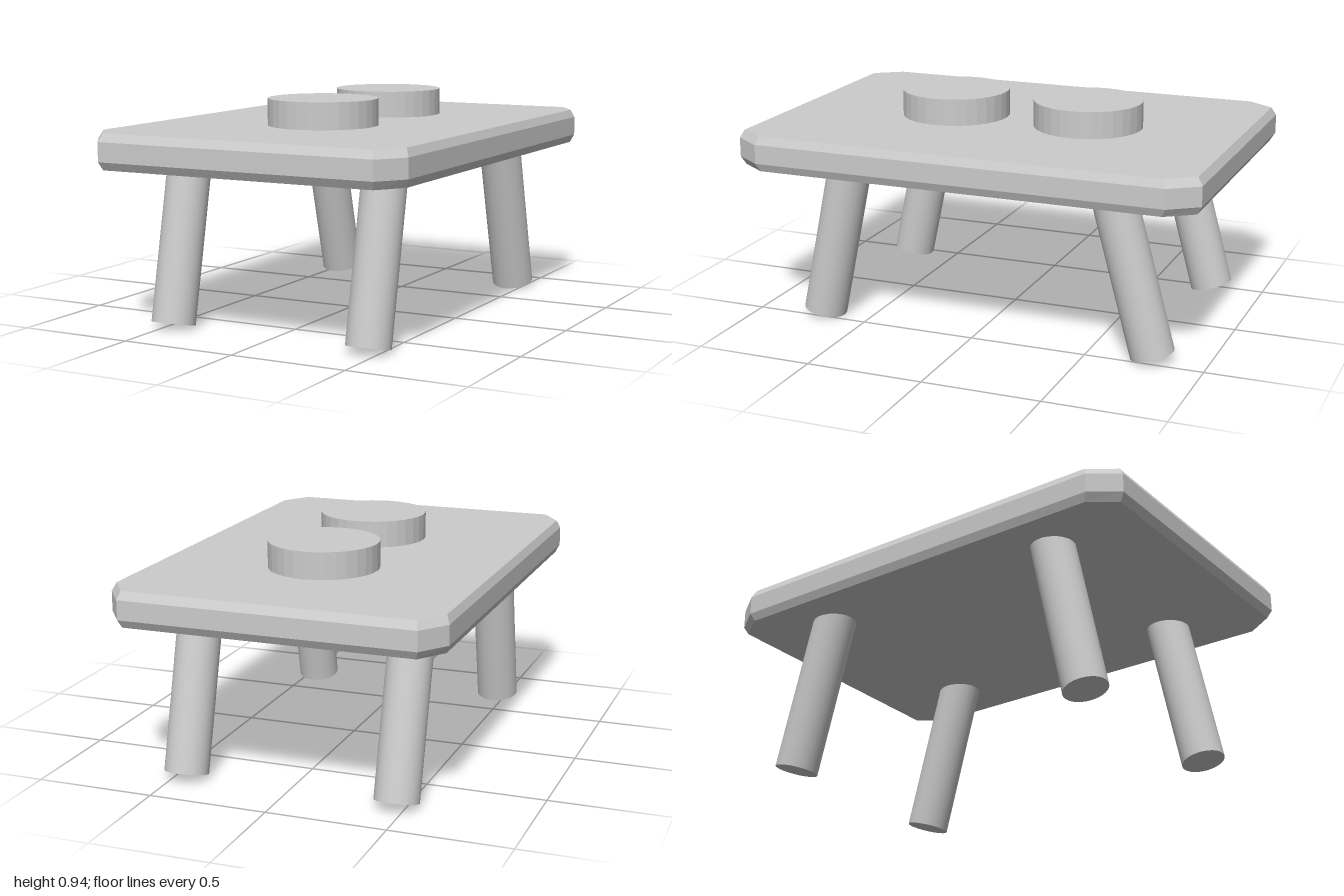
import * as THREE from 'three';

const grey = new THREE.MeshStandardMaterial({ color: 0xcccccc });
const flatGrey = new THREE.MeshStandardMaterial({ color: 0xcccccc, flatShading: true });

// Rectangle with cut corners, in x and z, at height y
function ring(x, z, cornerX, cornerZ, y) {
  return [[cornerX, z], [x, cornerZ], [x, -cornerZ], [cornerX, -z],
    [-cornerX, -z], [-x, -cornerZ], [-x, cornerZ], [-cornerX, z]]
    .map(([px, pz]) => new THREE.Vector3(px, y, pz));
}

// Closed solid lofted through rings from bottom to top
function loft(rings) {
  const points = [];
  const tri = (a, b, c) => points.push(a, b, c);
  const n = rings[0].length;
  for (let r = 0; r < rings.length - 1; r++) {
    for (let i = 0; i < n; i++) {
      const j = (i + 1) % n;
      tri(rings[r][i], rings[r][j], rings[r + 1][j]);
      tri(rings[r][i], rings[r + 1][j], rings[r + 1][i]);
    }
  }
  const bottom = rings[0], top = rings[rings.length - 1];
  for (let i = 1; i < n - 1; i++) {
    tri(top[0], top[i], top[i + 1]);
    tri(bottom[0], bottom[i + 1], bottom[i]);
  }
  const geometry = new THREE.BufferGeometry().setFromPoints(points);
  geometry.computeVertexNormals();
  return geometry;
}

// Round leg between the centres of its two ends
function leg(name, foot, top) {
  const axis = top.clone().sub(foot);
  const mesh = new THREE.Mesh(new THREE.CylinderGeometry(0.092, 0.092, axis.length(), 32), grey);
  mesh.position.copy(foot).add(top).multiplyScalar(0.5);
  mesh.quaternion.setFromUnitVectors(new THREE.Vector3(0, 1, 0), axis.normalize());
  mesh.name = name;
  return mesh;
}

export function createModel() {
  const group = new THREE.Group();
  group.name = 'table';

  // Slab with cut corners and bevelled rims
  const slab = new THREE.Mesh(loft([
    ring(0.685, 0.98, 0.605, 0.865, 0.682),
    ring(0.7, 1, 0.615, 0.88, 0.716),
    ring(0.7, 1, 0.615, 0.88, 0.797),
    ring(0.685, 0.98, 0.605, 0.865, 0.831),
  ]), flatGrey);
  slab.name = 'tableTop';
  group.add(slab);

  // Two round discs resting on the slab
  [['frontDisc', 0.272], ['backDisc', -0.335]].forEach(([name, z]) => {
    const disc = new THREE.Mesh(new THREE.CylinderGeometry(0.232, 0.232, 0.125, 32), flatGrey);
    disc.position.set(0.008, 0.882, z);
    disc.name = name;
    group.add(disc);
  });

  // Splayed legs, the back pair leaning a little more
  [['Left', 0.448], ['Right', -0.463]].forEach(([side, x]) => {
    group.add(leg('frontLeg' + side,
      new THREE.Vector3(x, 0.019, 0.71), new THREE.Vector3(x, 0.74, 0.558)));
    group.add(leg('backLeg' + side,
      new THREE.Vector3(x, 0.025, -0.772), new THREE.Vector3(x, 0.74, -0.577)));
  });

  return group;
}
